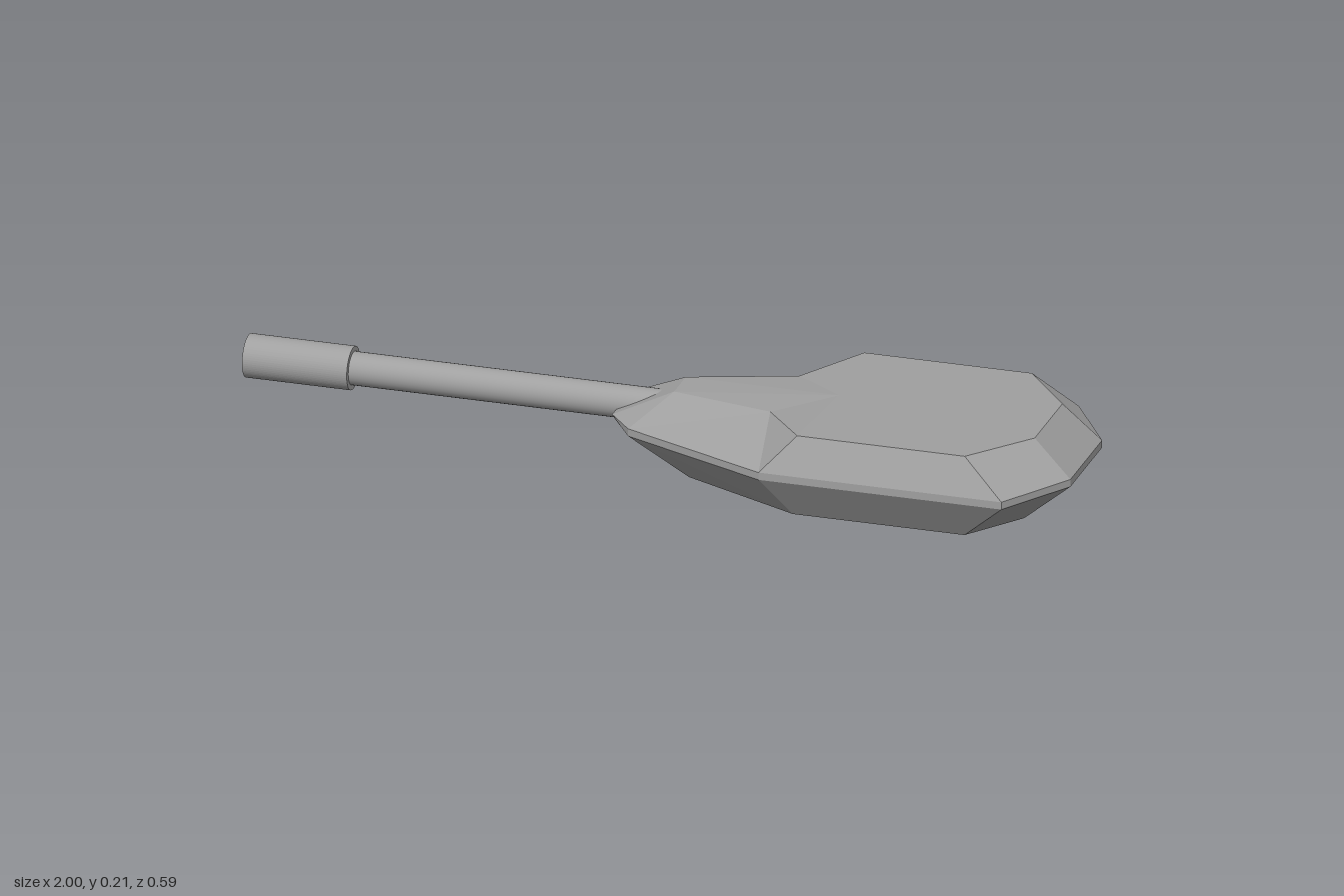
import * as THREE from 'three';

const grey = new THREE.MeshStandardMaterial({ color: 0xa0a0a0 });
grey.name = 'grey';

// Half outlines [x, y, z], running from the rear to the nose
const bottom = [[0.88, 0, 0.09], [0.78, 0, 0.225], [0.37, 0, 0.225], [0.08, 0, 0.09], [0.08, 0, 0.04]];
const beltLow = [[1, 0.105, 0.12], [0.89, 0.105, 0.295], [0.31, 0.105, 0.295], [-0.05, 0.105, 0.14], [-0.105, 0.115, 0.07]];
const beltHigh = [[1, 0.123, 0.12], [0.89, 0.123, 0.295], [0.31, 0.123, 0.295], [-0.05, 0.123, 0.14], [-0.11, 0.123, 0.07]];
const roof = [[0.91, 0.208, 0.105], [0.79, 0.208, 0.255], [0.39, 0.208, 0.255], [0.28, 0.195, 0.11], [0.03, 0.187, 0.045]];

// Mirror a half outline across z = 0 into a closed ring
const ring = half => [...half, ...half.map(([x, y, z]) => [x, y, -z]).reverse()];

function buildShell(halves, topCentre, bottomCentre) {
  const rings = halves.map(ring);
  const n = rings[0].length;
  const pos = [];
  const tri = (...pts) => pts.forEach(p => pos.push(...p));
  for (let i = 0; i < n; i++) {
    const j = (i + 1) % n;
    for (let k = 0; k < rings.length - 1; k++) {
      const a = rings[k][i], b = rings[k][j], c = rings[k + 1][j], d = rings[k + 1][i];
      // Diagonals are mirrored so both flanks have the same facets
      if (i < n / 2) { tri(b, a, c); tri(a, d, c); }
      else { tri(b, a, d); tri(b, d, c); }
    }
    tri(topCentre, rings[rings.length - 1][j], rings[rings.length - 1][i]);
    tri(bottomCentre, rings[0][i], rings[0][j]);
  }
  const geo = new THREE.BufferGeometry();
  geo.setAttribute('position', new THREE.Float32BufferAttribute(pos, 3));
  geo.computeVertexNormals(); // unshared corners give flat facets
  return geo;
}

export function createModel() {
  const model = new THREE.Group();
  model.name = 'gunTurret';

  // Faceted armour shell
  const shell = new THREE.Mesh(
    buildShell([bottom, beltLow, beltHigh, roof], [0.41, 0.208, 0], [0.45, 0, 0]), grey);
  shell.name = 'turretShell';
  model.add(shell);

  // Barrel and muzzle lie along -x
  const gun = new THREE.Group();
  gun.name = 'gun';
  gun.position.y = 0.128;
  gun.rotation.z = Math.PI / 2; // local +y becomes -x
  model.add(gun);

  const barrel = new THREE.Mesh(new THREE.CylinderGeometry(0.039, 0.039, 0.86, 32, 1, true), grey);
  barrel.name = 'barrel';
  barrel.position.y = 0.35;
  gun.add(barrel);

  // Hollow muzzle: outer sleeve with a round bore
  const ringShape = new THREE.Shape().absarc(0, 0, 0.051, 0, Math.PI * 2);
  ringShape.holes.push(new THREE.Path().absarc(0, 0, 0.029, 0, Math.PI * 2, true));
  const sleeve = new THREE.Mesh(
    new THREE.ExtrudeGeometry(ringShape, { depth: 0.25, bevelEnabled: false, curveSegments: 32 }), grey);
  sleeve.name = 'muzzleSleeve';
  sleeve.rotation.x = -Math.PI / 2; // extrude along local +y
  sleeve.position.y = 0.75;
  gun.add(sleeve);

  const boreEnd = new THREE.Mesh(new THREE.CircleGeometry(0.035, 32), grey);
  boreEnd.name = 'boreEnd';
  boreEnd.rotation.x = -Math.PI / 2;
  boreEnd.position.y = 0.78;
  gun.add(boreEnd);

  return model;
}
